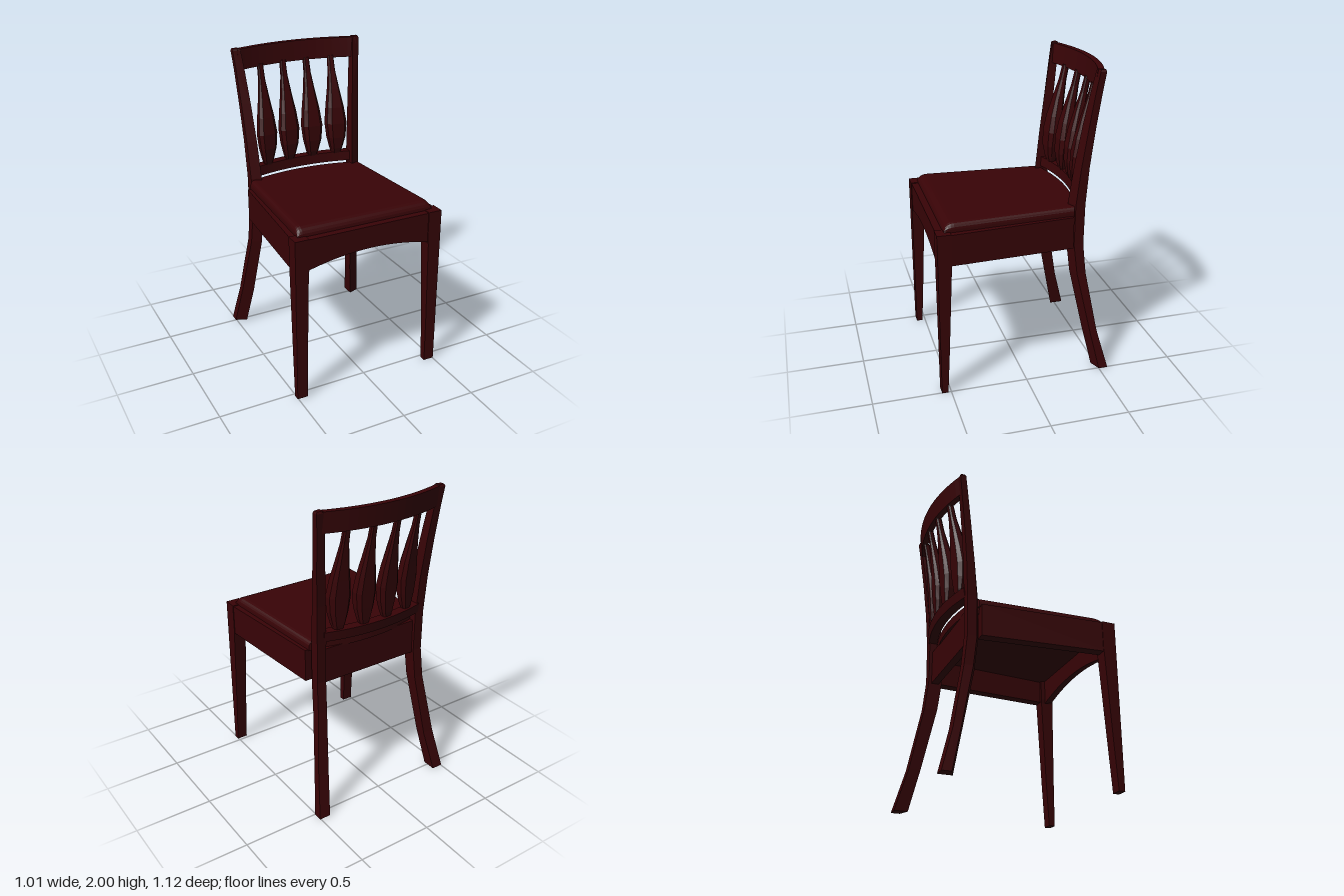
import * as THREE from 'three';

const wood = new THREE.MeshStandardMaterial({ color: 0x380306, flatShading: true, roughness: 0.7 });

// Skin a row of cross-sections (arrays of [x, y, z]) and cap both ends.
function loft(sections) {
  const tris = [];
  const n = sections[0].length;
  for (let s = 0; s < sections.length - 1; s++) {
    const a = sections[s], b = sections[s + 1];
    for (let i = 0; i < n; i++) {
      const j = (i + 1) % n;
      tris.push([a[i], b[i], b[j]], [a[i], b[j], a[j]]);
    }
  }
  const first = sections[0], last = sections[sections.length - 1];
  for (let i = 1; i < n - 1; i++) {
    tris.push([first[0], first[i], first[i + 1]], [last[0], last[i + 1], last[i]]);
  }
  // Turn every face outwards, whichever way the sections run.
  let volume = 0;
  const va = new THREE.Vector3(), vb = new THREE.Vector3(), vc = new THREE.Vector3();
  for (const [a, b, c] of tris) {
    volume += va.set(...a).dot(vb.set(...b).cross(vc.set(...c)));
  }
  if (volume < 0) tris.forEach((t) => t.reverse());
  const geometry = new THREE.BufferGeometry();
  geometry.setAttribute('position', new THREE.Float32BufferAttribute(tris.flat(2), 3));
  geometry.computeVertexNormals();
  return geometry;
}

// Bar running across the chair; section(x) gives its four corners as [y, z].
function crossBar(halfWidth, section, steps = 16) {
  const rows = [];
  for (let i = 0; i <= steps; i++) {
    const x = halfWidth * (2 * i / steps - 1);
    rows.push(section(x).map(([y, z]) => [x, y, z]));
  }
  return loft(rows);
}

// The back bows away from the sitter.
const bow = (x) => 0.42 * x * x;

// Seat pad: converging sides, softly rounded front and side edges, square bowed back edge.
function seatPad() {
  const rows = [];
  const steps = 32, base = 1.08;
  for (let i = 0; i <= steps; i++) {
    const t = Math.sin((i / steps - 0.5) * Math.PI);
    const edge = Math.max(0, (Math.abs(t) - 0.92) / 0.08);
    const height = 0.025 + 0.035 * Math.sqrt(Math.max(0, 1 - edge * edge));
    const profile = [[base, 0.51]];
    for (let k = 0; k <= 5; k++) {
      const a = k / 5 * Math.PI / 2;
      profile.push([base + height * (0.15 + 0.85 * Math.sin(a)), 0.445 + 0.065 * Math.cos(a)]);
    }
    const back = -0.393 + bow(0.41 * t);
    profile.push([base + height, back], [base, back]);
    rows.push(profile.map(([y, z]) => [t * (0.436 + 0.057 * z), y, z]));
  }
  return loft(rows);
}

export function createModel() {
  const chair = new THREE.Group();
  chair.name = 'chair';
  const add = (name, geometry) => {
    const mesh = new THREE.Mesh(geometry, wood);
    mesh.name = name;
    chair.add(mesh);
  };

  // Back post and leg in one sweep: y, inner x, outer x, front z, back z, slant of the front face
  const post = [
    [0, 0.43, 0.505, -0.47, -0.56, 0.03],
    [0.27, 0.39, 0.465, -0.41, -0.487, 0.03],
    [0.68, 0.35, 0.414, -0.325, -0.413, 0.03],
    [0.88, 0.342, 0.406, -0.302, -0.393, 0.03],
    [1.15, 0.342, 0.406, -0.305, -0.397, 0.03],
    [1.4, 0.355, 0.416, -0.335, -0.412, 0.025],
    [1.65, 0.373, 0.43, -0.372, -0.437, 0.02],
    [1.87, 0.392, 0.444, -0.41, -0.464, 0.012],
    [1.988, 0.404, 0.455, -0.433, -0.479, 0.008],
    [2, 0.411, 0.449, -0.439, -0.474, 0.006],
  ];

  for (const side of [1, -1]) {
    const sideName = side > 0 ? 'left' : 'right';

    add(sideName + 'BackLegAndPost', loft(post.map(([y, xi, xo, zf, zb, slant]) => [
      [side * xi, y, zf], [side * xo, y, zf - slant], [side * xo, y, zb], [side * xi, y, zb],
    ])));

    // Front leg, tapered on its two inner faces
    const leg = [[0, 0.434, 0.52], [0.3, 0.431, 0.503], [0.87, 0.419, 0.475], [0.9, 0.413, 0.472], [1.09, 0.413, 0.472]];
    add(sideName + 'FrontLeg', loft(leg.map(([y, xi, zi]) => [
      [side * xi, y, zi], [side * 0.505, y, zi], [side * 0.505, y, 0.56], [side * xi, y, 0.56],
    ])));

    // Side rail, converging towards the back
    const rail = [[0.5, 0.503, 0.885], [-0.315, 0.44, 0.875]];
    add(sideName + 'SeatRail', loft(rail.map(([z, xo, bottom]) => [
      [side * xo, bottom, z], [side * xo, 1.085, z],
      [side * (xo - 0.065), 1.085, z], [side * (xo - 0.065), bottom, z],
    ])));
  }

  // Front rail with an arched, slightly sloping lower edge
  add('frontSeatRail', crossBar(0.42, (x) => {
    const bottom = 0.94 - 0.055 * (x / 0.42) ** 2;
    return [[bottom, 0.555], [1.085, 0.555], [1.085, 0.5], [bottom - 0.014, 0.5]];
  }));

  // Straight back rail between the back legs
  add('backSeatRail', crossBar(0.36, () =>
    [[0.86, -0.375], [1.09, -0.375], [1.09, -0.325], [0.86, -0.325]], 1));

  add('seat', seatPad());

  // Panel under the pad, held between the rails
  add('seatPanel', loft([[0.51, 0.45], [-0.34, 0.39]].map(([z, x]) =>
    [[-x, 1.04, z], [x, 1.04, z], [x, 1.084, z], [-x, 1.084, z]])));

  // Crest rail, leaning back slightly
  add('crestRail', crossBar(0.425, (x) => {
    const z = bow(x);
    return [[1.865, z - 0.535], [1.995, z - 0.55], [1.995, z - 0.51], [1.865, z - 0.495]];
  }));

  // Lower back rail
  add('lowerBackRail', crossBar(0.36, (x) => {
    const z = bow(x);
    return [[1.155, z - 0.452], [1.22, z - 0.463], [1.22, z - 0.4], [1.155, z - 0.393]];
  }));

  // Faceted vase-shaped spindles: y, half width, half depth, centre z
  const spindle = [
    [1.21, 0.026, 0.022, -0.422],
    [1.25, 0.04, 0.032, -0.419],
    [1.33, 0.059, 0.042, -0.417],
    [1.43, 0.069, 0.045, -0.423],
    [1.54, 0.056, 0.04, -0.438],
    [1.66, 0.037, 0.03, -0.461],
    [1.78, 0.022, 0.02, -0.487],
    [1.88, 0.019, 0.018, -0.508],
  ];
  const facets = [[1, 0.5], [0.65, 1], [-0.65, 1], [-1, 0.5], [-1, -0.5], [-0.65, -1], [0.65, -1], [1, -0.5]];
  ['outerRight', 'innerRight', 'innerLeft', 'outerLeft'].forEach((name, i) => {
    const x = 0.171 * (i - 1.5);
    add(name + 'Spindle', loft(spindle.map(([y, w, d, z]) =>
      facets.map(([fx, fz]) => [x + fx * w, y, z + bow(x) + fz * d + 0.6 * x * fx * w]))));
  });

  return chair;
}
